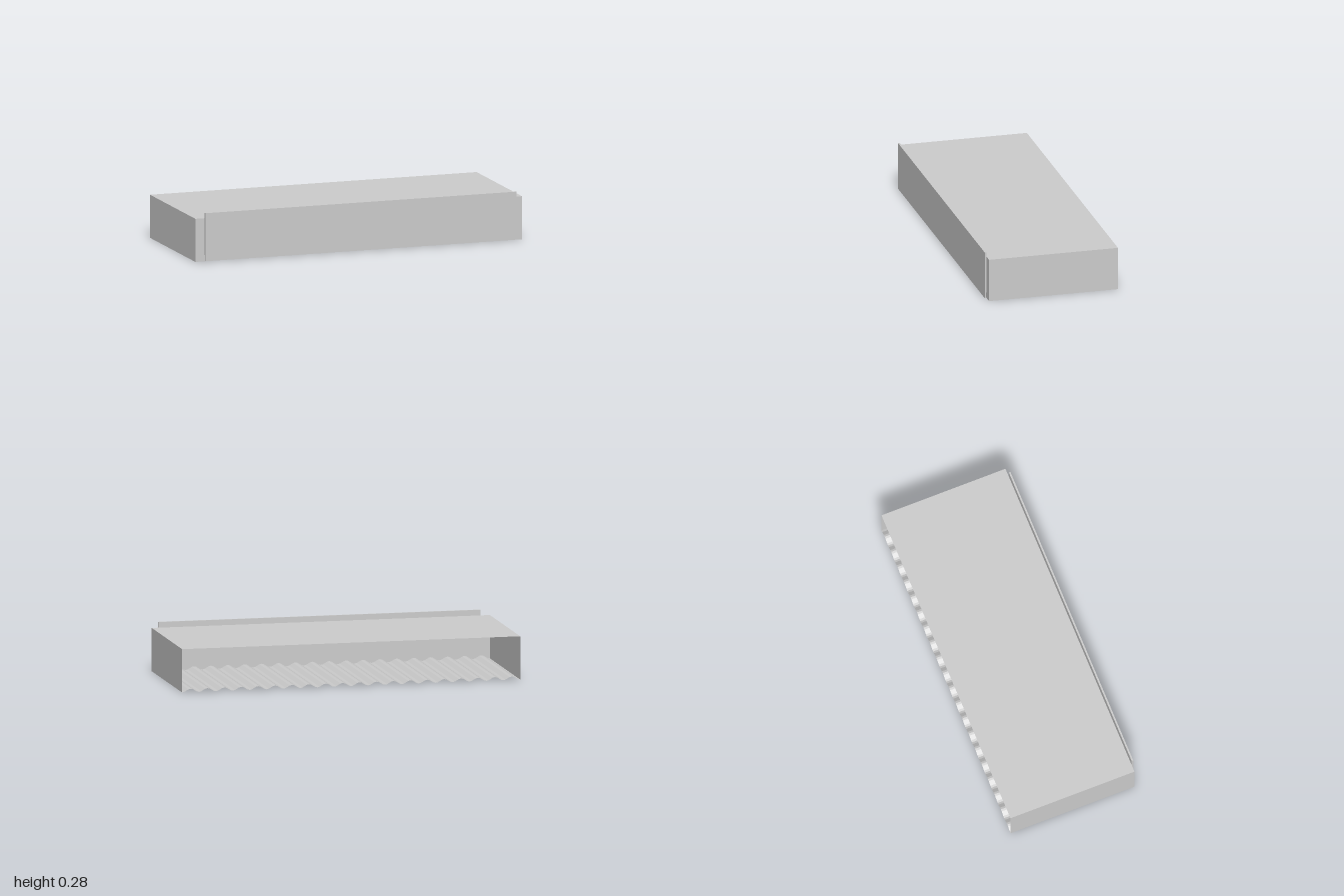
import * as THREE from 'three';

const W = 2, H = 0.253, BACK = -0.392, FRONT = 0.377;
const D = FRONT - BACK, MID = (FRONT + BACK) / 2;

export function createModel() {
  const model = new THREE.Group();
  const sheet = new THREE.MeshStandardMaterial({ color: 0xcccccc, side: THREE.DoubleSide, flatShading: true });

  function add(name, geometry, x = 0, y = 0, z = 0) {
    const mesh = new THREE.Mesh(geometry, sheet);
    mesh.name = name;
    mesh.position.set(x, y, z);
    model.add(mesh);
  }

  // Thin-walled shell, open at the back
  add('top', new THREE.PlaneGeometry(W, D).rotateX(-Math.PI / 2), 0, H, MID);
  add('frontWall', new THREE.PlaneGeometry(W, H), 0, H / 2, FRONT);
  for (const s of [1, -1]) {
    add(s > 0 ? 'leftWall' : 'rightWall',
      new THREE.PlaneGeometry(D, H).rotateY(s * Math.PI / 2), s * W / 2, H / 2, MID);
  }

  // Corrugated floor: a sheet raised in waves across the width
  const waves = 20, steps = 8, waveHeight = 0.02;
  const floor = new THREE.PlaneGeometry(W, D, waves * steps, 1).rotateX(Math.PI / 2);
  const pos = floor.attributes.position;
  for (let i = 0; i < pos.count; i++) {
    const phase = (pos.getX(i) + W / 2) / W * waves * Math.PI * 2;
    pos.setY(i, waveHeight / 2 * (1 - Math.cos(phase)));
  }
  floor.computeVertexNormals();
  add('corrugatedFloor', floor, 0, 0, MID);

  // Front panel: side profile with a shallow step near its foot, run across the width
  const profile = new THREE.Shape([
    [-0.392, 0.005], [-0.384, 0.005], [-0.384, 0.038],
    [-0.382, 0.038], [-0.382, 0.285], [-0.392, 0.285],
  ].map(([z, y]) => new THREE.Vector2(z, y)));
  const panel = new THREE.ExtrudeGeometry(profile, { depth: 1.905, bevelEnabled: false });
  panel.rotateY(Math.PI / 2);
  panel.translate(-0.945, 0, 0);
  // The shape's axis runs along -z after turning, so it already lands at the front
  add('frontPanel', panel);

  return model;
}
